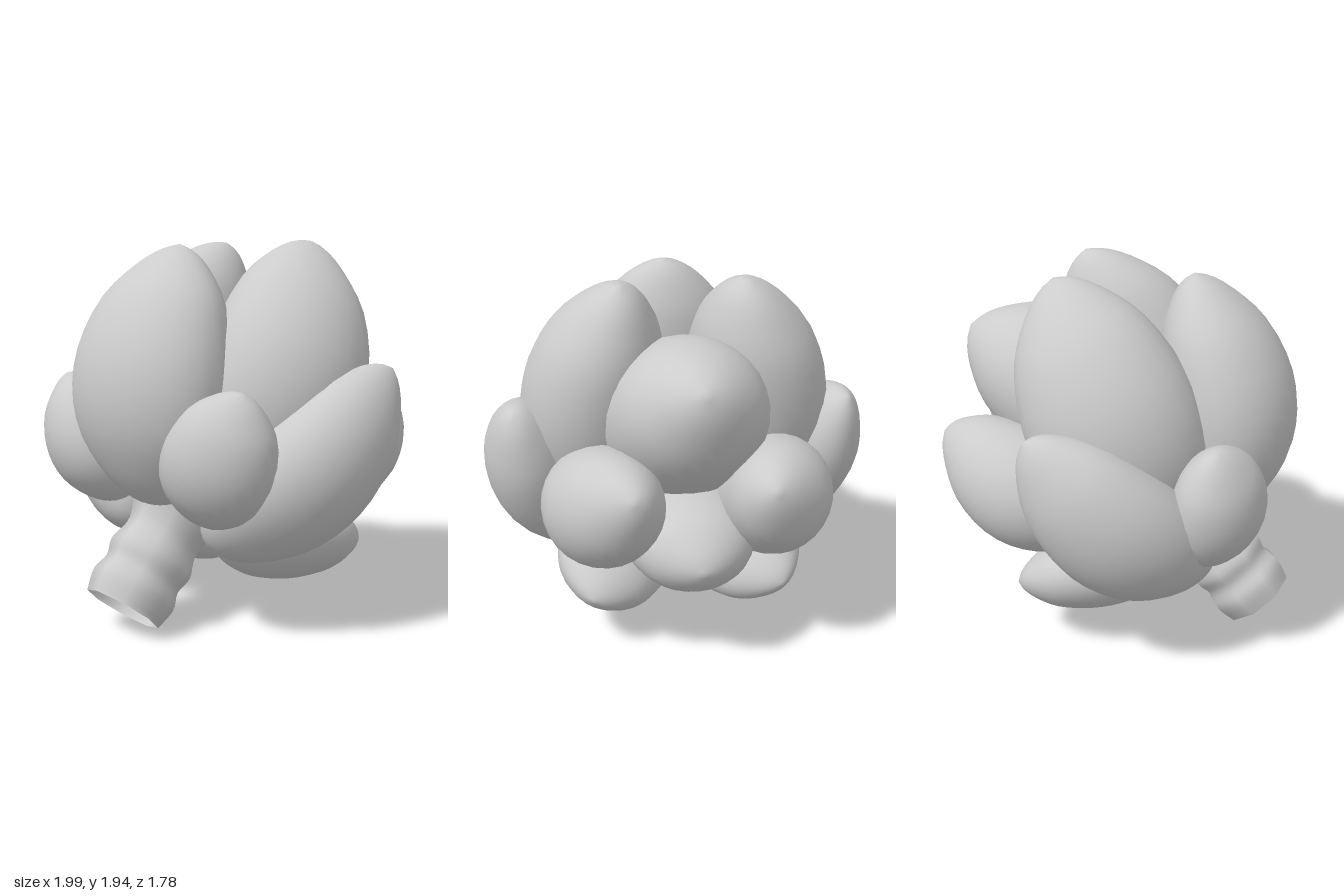
import * as THREE from 'three';
import { mergeVertices } from 'three/addons/utils/BufferGeometryUtils.js';

const material = new THREE.MeshStandardMaterial({ color: 0xcccccc });
const openMaterial = new THREE.MeshStandardMaterial({ color: 0xcccccc, side: THREE.DoubleSide });

// Merge the lathe seam so the shading runs smoothly all round
function smooth(geometry) {
  geometry.deleteAttribute('uv');
  geometry.deleteAttribute('normal');
  const merged = mergeVertices(geometry, 1e-4);
  merged.computeVertexNormals();
  return merged;
}

// Unit outline of a bract: round base, full belly, small pointed tip
const outline = new THREE.SplineCurve(
  [[0, 0], [0.3, 0.02], [0.62, 0.1], [0.9, 0.25], [1, 0.42], [0.96, 0.6], [0.78, 0.78], [0.5, 0.9], [0.24, 0.97], [0, 1]]
    .map(([r, t]) => new THREE.Vector2(r, t)),
).getPoints(24).map((p) => new THREE.Vector2(Math.max(p.x, 0), p.y));

// A fleshy bract from base to tip, bulging towards "out"
function bract({ name, base, tip, out, width, thick, bend = 0 }, side = 1) {
  const vec = ([x, y, z]) => new THREE.Vector3(x * side, y, z);
  const from = vec(base);
  const axis = vec(tip).sub(from);
  const length = axis.length();
  axis.normalize();
  const normal = vec(out);
  normal.addScaledVector(axis, -normal.dot(axis)).normalize();
  const across = new THREE.Vector3().crossVectors(axis, normal);

  const geometry = new THREE.LatheGeometry(outline, 28);
  const pos = geometry.attributes.position;
  for (let i = 0; i < pos.count; i++) {
    const t = pos.getY(i);
    pos.setXYZ(i, pos.getX(i) * width, t * length, pos.getZ(i) * thick + bend * Math.sin(Math.PI * t));
  }
  geometry.applyMatrix4(new THREE.Matrix4().makeBasis(across, axis, normal).setPosition(from));
  const mesh = new THREE.Mesh(smooth(geometry), material);
  mesh.name = name;
  return mesh;
}

// Bracts on the centre line
const single = [
  { name: 'frontBract', base: [0, 0.62, 0.5], tip: [0, 1.92, 0.34], out: [0, 0, 1], width: 0.445, thick: 0.34, bend: 0.115 },
  { name: 'backBract', base: [0, 0.95, 0.3], tip: [0, 1.58, -0.84], out: [0, -0.7, -0.7], width: 0.43, thick: 0.4 },
  { name: 'lowerBackBract', base: [0, 0.72, -0.08], tip: [0, 0.68, -0.84], out: [0, -1, -0.1], width: 0.335, thick: 0.26 },
];

// Bracts that come in mirrored pairs
const paired = [
  { name: 'upperSideBract', base: [0.3, 0.62, 0.25], tip: [0.31, 1.94, -0.29], out: [0.9, 0.2, 0.2], width: 0.43, thick: 0.37, bend: 0.12 },
  { name: 'lowerSideBract', base: [0.33, 0.45, 0.45], tip: [0.85, 1.32, -0.29], out: [1, -0.3, 0.1], width: 0.345, thick: 0.27, bend: 0.115 },
  { name: 'smallFrontBract', base: [0.31, 0.6, 0.46], tip: [0.66, 1.25, 0.56], out: [0.45, -0.2, 0.9], width: 0.28, thick: 0.22, bend: 0.05 },
  { name: 'backSideBract', base: [0.33, 0.74, 0.05], tip: [0.33, 1.11, -0.89], out: [0.85, -0.3, -0.3], width: 0.31, thick: 0.3, bend: 0.11 },
  { name: 'bottomBract', base: [0.2, 0.46, 0.29], tip: [0.5, 0.36, -0.47], out: [0.45, -0.85, 0], width: 0.31, thick: 0.21 },
];

// Ridged open stem, tilted back into the head
function stem() {
  const profile = new THREE.SplineCurve(
    [[0.2, 0], [0.225, 0.11], [0.203, 0.2], [0.223, 0.29], [0.195, 0.4], [0.22, 0.5], [0.3, 0.64]]
      .map(([r, y]) => new THREE.Vector2(r, y)),
  ).getPoints(24);
  const mesh = new THREE.Mesh(smooth(new THREE.LatheGeometry(profile, 8)), openMaterial);
  mesh.name = 'stem';
  mesh.position.set(0, 0.135, 0.735);
  mesh.rotation.x = -Math.atan2(0.64, 0.765);
  return mesh;
}

export function createModel() {
  const model = new THREE.Group();
  model.name = 'bud';

  // Hidden heart that closes the gaps between the bracts
  const heart = new THREE.Mesh(new THREE.SphereGeometry(0.42, 24, 16), material);
  heart.name = 'heart';
  heart.scale.set(1, 1.1, 1);
  heart.position.set(0, 0.94, 0.05);
  model.add(heart, stem());

  for (const spec of single) model.add(bract(spec));
  for (const spec of paired) for (const side of [1, -1]) model.add(bract(spec, side));
  return model;
}
